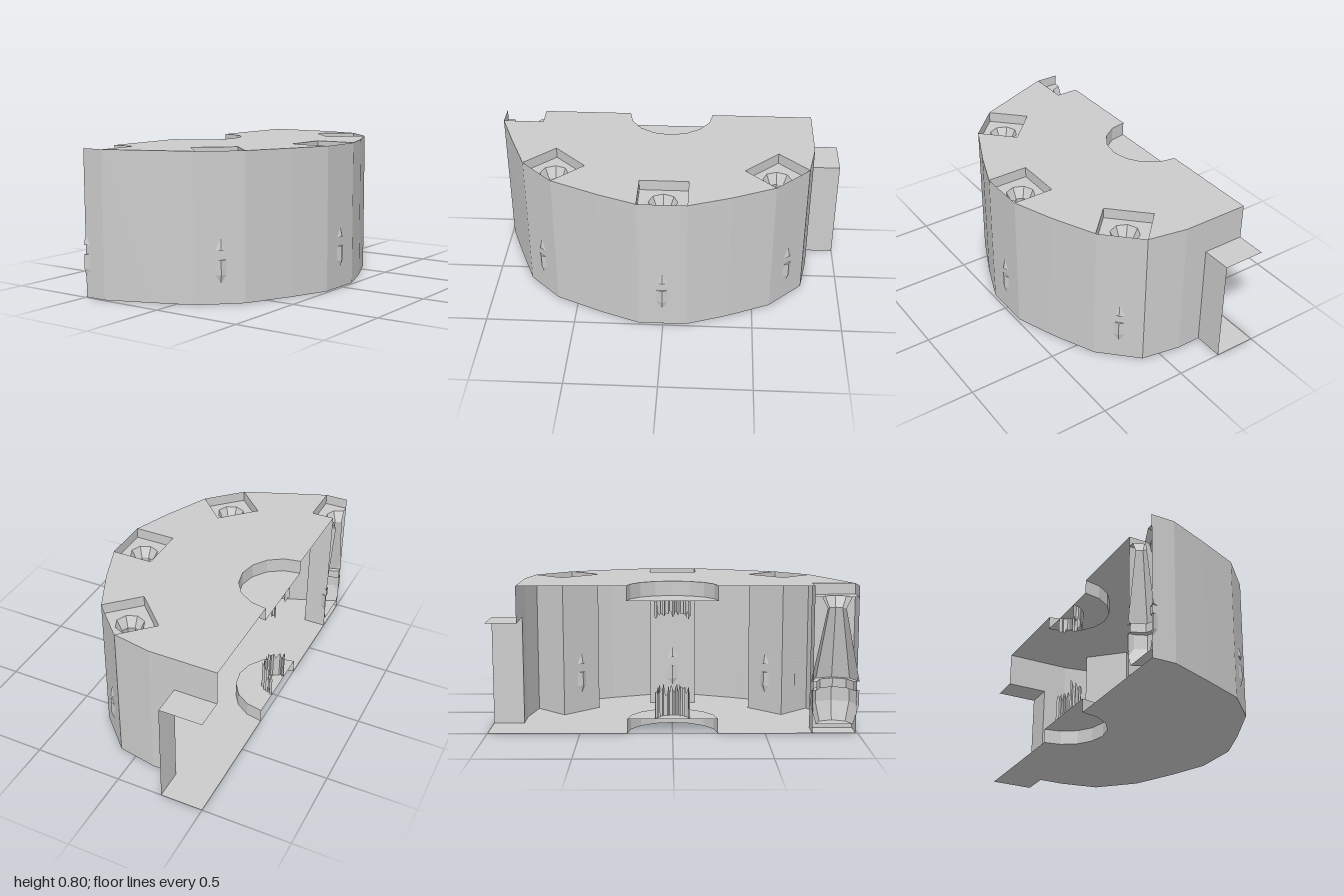
import * as THREE from 'three';

const H = 0.8, POCKET = 0.74, RECESS = 0.08, CUT = -0.5;
const mat = new THREE.MeshStandardMaterial({ color: 0xcccccc, flatShading: true, side: THREE.DoubleSide });

// Outer outline in [x, z], from the back of the cut round to the front
const outline = [
  [-0.26, -0.83], [-0.12, -0.83], [0.1, -0.79], [0.29, -0.6], [0.4, -0.36], [0.485, -0.13], [0.485, 0.14],
  [0.4, 0.36], [0.28, 0.62], [0.1, 0.8], [-0.14, 0.9], [-0.37, 0.99], [CUT, 0.99],
];
const columnStarts = [2, 5, 8, 11]; // outline edges that carry a column

function add(group, name, geometry) {
  const mesh = new THREE.Mesh(geometry, mat);
  mesh.name = name;
  group.add(mesh);
  return mesh;
}

// Flat horizontal plate from [x, z] points
function plate(points, y, up, hole) {
  const s = up ? -1 : 1;
  const toV = ([x, z]) => new THREE.Vector2(x, s * z);
  const shape = new THREE.Shape(points.map(toV));
  if (hole) shape.holes.push(new THREE.Path(hole.map(toV)));
  return new THREE.ShapeGeometry(shape).rotateX((s * Math.PI) / 2).translate(0, y, 0);
}

// Upright strip along [x, z] points
function strip(points, y0, y1) {
  const pos = [];
  for (let i = 0; i < points.length - 1; i++) {
    const [ax, az] = points[i], [bx, bz] = points[i + 1];
    pos.push(ax, y0, az, ax, y1, az, bx, y1, bz, ax, y0, az, bx, y1, bz, bx, y0, bz);
  }
  const g = new THREE.BufferGeometry();
  g.setAttribute('position', new THREE.Float32BufferAttribute(pos, 3));
  g.computeVertexNormals();
  return g;
}

function arc(cx, cz, r, from, to, n) {
  return Array.from({ length: n + 1 }, (_, i) => {
    const a = from + ((to - from) * i) / n;
    return [cx + r * Math.cos(a), cz + r * Math.sin(a)];
  });
}

// Jagged half stub of a broken pin
function stub(y0, y1, seed) {
  const hash = (n) => {
    const v = Math.sin(n * 12.9898 + seed * 78.233) * 43758.5453;
    return v - Math.floor(v);
  };
  const n = 36;
  const g = new THREE.CylinderGeometry(0.09, 0.09, 1, n, 1, true, 0, Math.PI);
  const p = g.attributes.position;
  for (let i = 0; i < p.count; i++) {
    const k = i % (n + 1);
    const s = 0.9 + 0.2 * hash(k + 1);
    const end = p.getY(i) > 0;
    p.setXYZ(i, p.getX(i) * s, end ? y0 + (y1 - y0) * (0.6 + 0.4 * hash(k + 60)) : y0, p.getZ(i) * s);
  }
  return g.translate(CUT, 0, 0);
}

export function createModel() {
  const model = new THREE.Group();

  // Outer wall, with the part above the doorway
  add(model, 'outerWall', strip(outline, 0, H));
  add(model, 'wallAboveDoorway', strip([[CUT, -0.83], [-0.26, -0.83]], 0.6, H));

  // Doorway passage at the back
  add(model, 'passageSide', strip([[-0.26, -1], [-0.26, -0.83]], 0, 0.6));
  add(model, 'passageRoof', plate([[CUT, -1], [-0.26, -1], [-0.26, -0.83], [CUT, -0.83]], 0.6, true));

  // Columns with top pockets and the flared vessels inside them
  const roof = [[CUT, -0.83]];
  outline.forEach((pt, i) => {
    const last = i === outline.length - 1;
    if (!last) roof.push(pt);
    if (!columnStarts.includes(i)) return;
    const a = pt, b = outline[i + 1], half = i === 11;
    const dx = b[0] - a[0], dz = b[1] - a[1], len = Math.hypot(dx, dz);
    const nx = -dz / len, nz = dx / len, depth = 0.235;
    const a2 = [a[0] + nx * depth, a[1] + nz * depth];
    const b2 = [b[0] + nx * depth, b[1] + nz * depth];
    roof.push(a2, b2);

    const column = new THREE.Group();
    column.name = half ? 'halfColumn' : 'column';
    model.add(column);
    add(column, 'columnWalls', strip(half ? [a, a2, b2] : [a, a2, b2, b], 0, H));

    const cx = (half ? CUT : (a[0] + b[0]) / 2) + (nx * depth) / 2;
    const cz = (a[1] + b[1]) / 2 + (nz * depth) / 2;
    if (half) {
      const rim = arc(cx, cz, 0.08, -Math.PI / 2, Math.PI / 2, 4);
      add(column, 'pocketFloor', plate([b2, ...rim, b, a, a2], POCKET, true));
    } else {
      add(column, 'pocketFloor', plate([a, a2, b2, b], POCKET, true, arc(cx, cz, 0.08, 0, Math.PI * 2, 8).slice(0, 8)));
    }
    const profile = [
      [0, 0.05], [0.1, 0.05], [0.13, 0.155], [0.13, 0.235], [0.1, 0.235],
      [0.1, 0.285], [0.13, 0.285], [0.05, 0.68], [0.08, POCKET],
    ].map(([r, y]) => new THREE.Vector2(r, y));
    const vessel = new THREE.LatheGeometry(profile, half ? 4 : 8, 0, half ? Math.PI : Math.PI * 2);
    add(column, 'vessel', vessel).position.set(cx, 0, cz);
  });

  // Roof and floor, both notched by the round central recess
  const notch = arc(CUT, 0, 0.245, Math.PI / 2, -Math.PI / 2, 8);
  add(model, 'roof', plate([...roof, ...notch], H, true));
  add(model, 'floor', plate([[CUT, -1], [-0.26, -1], ...outline, ...notch], 0, false));

  // Central recesses above and below, each with a broken pin stub
  add(model, 'topRecessWall', strip(notch, H - RECESS, H));
  add(model, 'topRecessFloor', plate(notch, H - RECESS, true));
  add(model, 'bottomRecessWall', strip(notch, 0, RECESS));
  add(model, 'bottomRecessCeiling', plate(notch, RECESS, false));
  add(model, 'upperPinStub', stub(H - RECESS, 0.62, 1));
  add(model, 'lowerPinStub', stub(RECESS, 0.26, 2));

  return model;
}
